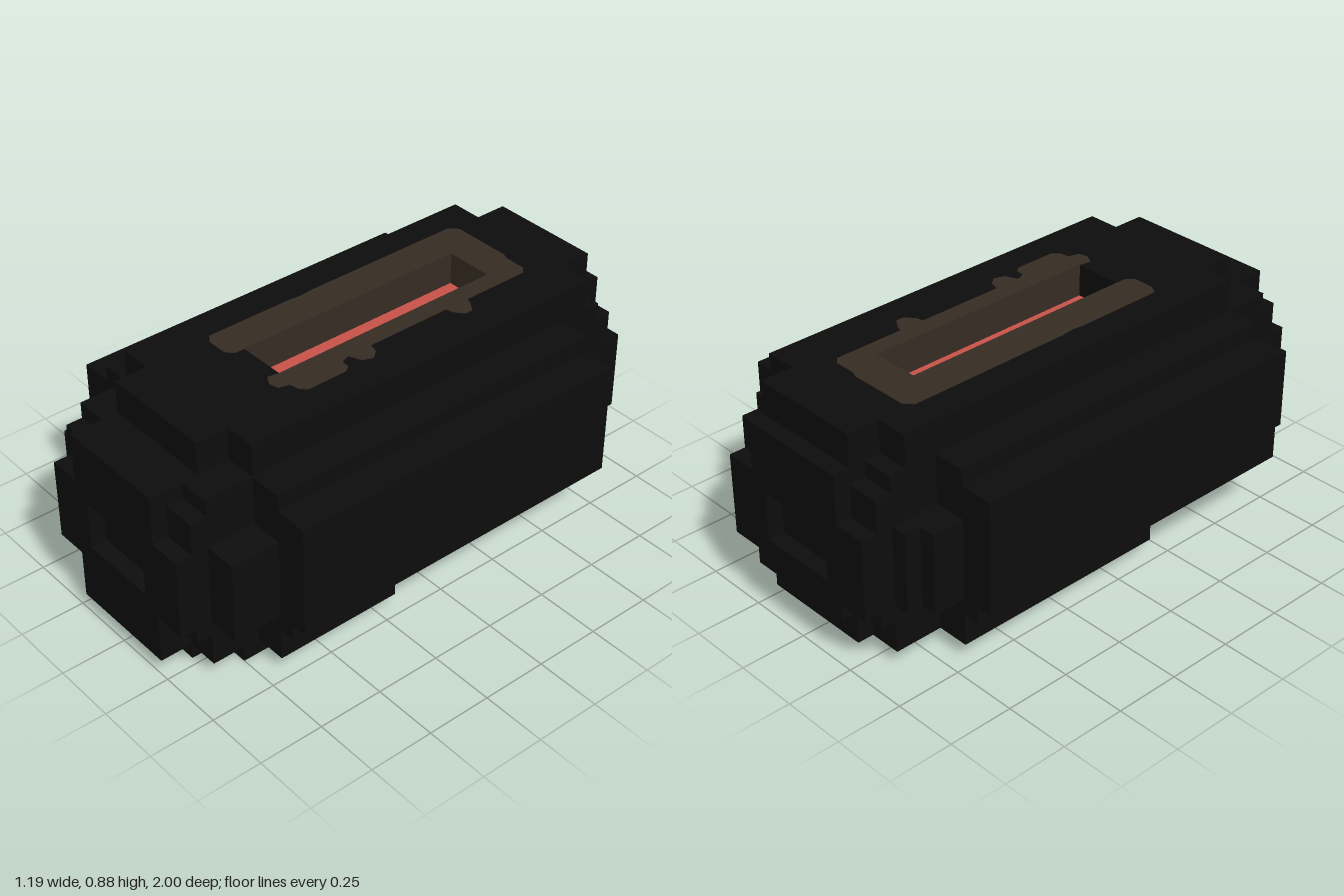
import * as THREE from 'three';

const black = new THREE.MeshStandardMaterial({ color: 0x0d0d0d });
black.name = 'black';
const brown = new THREE.MeshStandardMaterial({ color: 0x352c23 });
brown.name = 'scorchedBrown';
const red = new THREE.MeshStandardMaterial({ color: 0xc85248 });
red.name = 'emberRed';

const U = 0.0625; // block step

export function createModel() {
  const model = new THREE.Group();
  model.name = 'steppedBlock';

  const add = (name, geometry, material = black) => {
    const mesh = new THREE.Mesh(geometry, material);
    mesh.name = name;
    model.add(mesh);
    return mesh;
  };
  // Box from its limits
  const box = (name, x0, x1, y0, y1, z0, z1, material) => {
    const g = new THREE.BoxGeometry(x1 - x0, y1 - y0, z1 - z0);
    g.translate((x0 + x1) / 2, (y0 + y1) / 2, (z0 + z1) / 2);
    return add(name, g, material);
  };
  // Box centred on x
  const slab = (name, hx, y0, y1, z0, z1, material) => box(name, -hx, hx, y0, y1, z0, z1, material);
  const polygon = (pts) => new THREE.Shape(pts.map(([x, y]) => new THREE.Vector2(x, y)));
  const rect = (x0, x1, y0, y1) => [[x0, y0], [x1, y0], [x1, y1], [x0, y1]];

  // Core body, in steps from the middle outwards
  slab('core', 0.344, U, 0.75, -0.875, 0.875);
  slab('wideBody', 0.469, 0.1875, 0.75, -0.6875, 0.6875);
  slab('shoulderFront', 0.469, 0.25, 0.5625, 0.6875, 0.875);
  slab('shoulderBack', 0.469, 0.25, 0.5625, -0.8125, -0.6875);
  slab('neckBack', 0.344, 0.1875, 0.6875, -0.9375, -0.875);
  slab('neckFront', 0.344, 0.1875, 0.6875, 0.875, 0.9375);
  box('backCornerStep', -0.406, -0.344, 0.25, 0.5625, -0.875, -0.8125);
  slab('lowerLedge', 0.531, 0.1875, 0.25, -0.6875, 0.6875);
  slab('sidePanels', 0.594, 0.25, 0.6875, -0.6875, 0.6875);

  // Underside: base plate with stepped corners, and side skirts
  slab('basePlate', 0.344, 0, U, -0.375, 0.75);
  slab('basePlateTip', 0.22, 0, U, 0.75, 0.875);
  slab('bellyBack', 0.22, U, 0.1875, -0.9375, -0.875);
  box('skirtLeft', 0.344, 0.469, U, 0.1875, 0.1875, 0.6875);
  box('skirtLeftStep', 0.344, 0.469, 0.125, 0.1875, -0.1875, 0.1875);
  box('skirtRight', -0.469, -0.344, U, 0.1875, -0.6875, 0.1875);
  box('skirtRightStep', -0.469, -0.344, 0.125, 0.1875, 0.1875, 0.6875);

  // End caps: cross-shaped plates with a rectangular recess
  const endCap = (name, bottom, z0, depth) => {
    const s = polygon([
      [-0.22, bottom], [0.22, bottom], [0.22, 0.25], [0.344, 0.25], [0.344, 0.5625], [0.22, 0.5625],
      [0.22, 0.75], [-0.22, 0.75], [-0.22, 0.5625], [-0.344, 0.5625], [-0.344, 0.25], [-0.22, 0.25],
    ]);
    s.holes.push(polygon(rect(-0.156, 0.156, 0.3125, 0.5).reverse()));
    const g = new THREE.ExtrudeGeometry(s, { depth, bevelEnabled: false });
    g.translate(0, 0, z0);
    add(name, g);
  };
  endCap('frontCap', U, 0.875, 0.125);
  endCap('backCap', 0.1875, -1, 0.125);

  // Top plate with stepped corners and an open slot (shape y is -z)
  const top = polygon([
    [-0.22, -0.8125], [0.22, -0.8125], [0.22, -0.6875], [0.344, -0.6875], [0.344, 0.8125], [0.22, 0.8125],
    [0.22, 0.9375], [-0.22, 0.9375], [-0.22, 0.8125], [-0.344, 0.8125], [-0.344, -0.6875], [-0.22, -0.6875],
  ]);
  top.holes.push(polygon(rect(-0.094, 0.094, -0.375, 0.5625).reverse()));
  const topGeo = new THREE.ExtrudeGeometry(top, { depth: 0.125, bevelEnabled: false });
  topGeo.rotateX(-Math.PI / 2).translate(0, 0.75, 0);
  add('topPlate', topGeo);
  slab('topBackSupport', 0.22, 0.6875, 0.75, -0.9375, -0.875);

  // Glowing slot floor and scorched slot walls
  slab('slotFloor', 0.094, 0.748, 0.754, -0.5625, 0.375, red);
  for (const s of [-1, 1]) {
    const x = s * 0.093;
    box('slotWall', x - 0.001, x + 0.001, 0.754, 0.877, -0.5625, 0.375, brown);
  }
  slab('slotEndWall', 0.092, 0.754, 0.877, -0.5625, -0.5605, brown);

  // Scorched border around the slot, with ragged edges on one side
  const rim = polygon([
    [-0.094, 0.5625], [-0.094, -0.41], [-0.12, -0.44], [-0.2, -0.44], [-0.23, -0.42],
    [-0.23, -0.08], [-0.225, -0.03], [-0.23, 0.02], [-0.23, 0.67], [-0.2, 0.7], [0.03, 0.7], [0.06, 0.69],
    [0.14, 0.69], [0.163, 0.67], [0.163, 0.4], [0.19, 0.39], [0.225, 0.365], [0.225, 0.335], [0.19, 0.305],
    [0.163, 0.3], [0.163, -0.04], [0.2, -0.05], [0.225, -0.08], [0.21, -0.12], [0.163, -0.14],
    [0.175, -0.175], [0.21, -0.18], [0.225, -0.2], [0.225, -0.36], [0.2, -0.385], [0.165, -0.39],
    [0.155, -0.43], [0.12, -0.44], [0.085, -0.42], [0.094, -0.375], [0.094, 0.5625],
  ]);
  const rimGeo = new THREE.ExtrudeGeometry(rim, { depth: 0.003, bevelEnabled: false });
  rimGeo.rotateX(-Math.PI / 2).translate(0, 0.875, 0);
  add('slotBorder', rimGeo, brown);

  return model;
}
